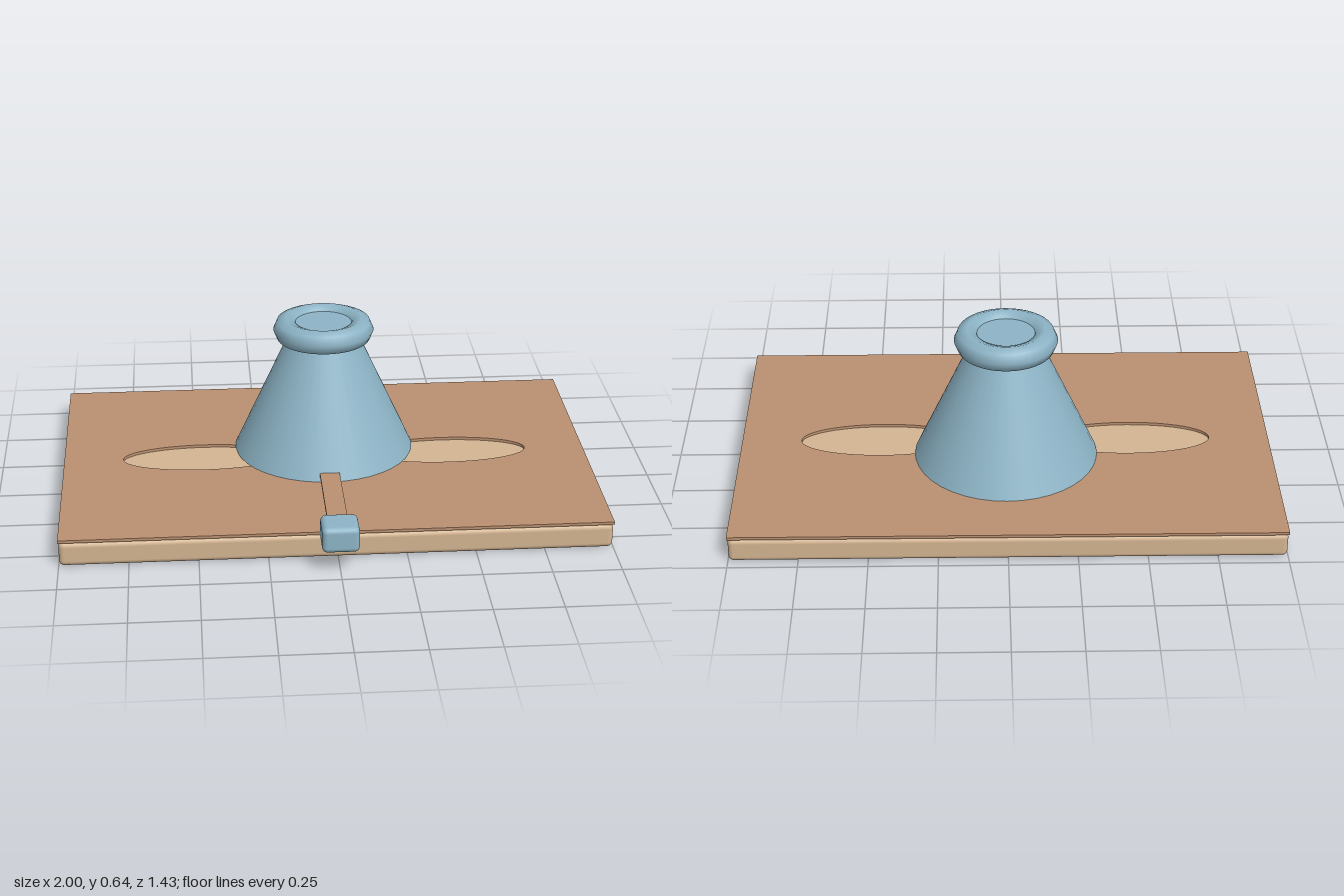
import * as THREE from 'three';
import { RoundedBoxGeometry } from 'three/addons/geometries/RoundedBoxGeometry.js';

export function createModel() {
  const model = new THREE.Group();
  const material = (name, color) => {
    const m = new THREE.MeshStandardMaterial({ color });
    m.name = name;
    return m;
  };
  const tan = material('tan', 0xd4b592);
  const brown = material('brown', 0xbb9070);
  const blue = material('dusty blue', 0x8db4c6);

  const add = (name, geometry, mat, x, y, z) => {
    const mesh = new THREE.Mesh(geometry, mat);
    mesh.name = name;
    mesh.position.set(x, y, z);
    model.add(mesh);
    return mesh;
  };

  // Rounded slab
  add('baseSlab', new RoundedBoxGeometry(1.996, 0.094, 1.3, 4, 0.02), tan, 0, 0.047, -0.065);

  // Thin cover sheet with two elliptical cutouts
  const sheet = new THREE.Shape();
  sheet.moveTo(-1, -0.585).lineTo(1, -0.585).lineTo(1, 0.715).lineTo(-1, 0.715).closePath();
  for (const side of [-1, 1]) {
    const hole = new THREE.Path();
    hole.absellipse(side * 0.465, 0.068, 0.31, 0.11, 0, Math.PI * 2, true);
    sheet.holes.push(hole);
  }
  const sheetGeometry = new THREE.ExtrudeGeometry(sheet, { depth: 0.011, bevelEnabled: false, curveSegments: 24 });
  sheetGeometry.rotateX(-Math.PI / 2);
  add('coverSheet', sheetGeometry, brown, 0, 0.094, 0);

  // Tapered body and the rim around its top
  const axisZ = -0.157;
  add('coneBody', new THREE.CylinderGeometry(0.109, 0.342, 0.51, 40), blue, 0, 0.36, axisZ);
  const rim = new THREE.TorusGeometry(0.143, 0.0475, 8, 40);
  rim.rotateX(-Math.PI / 2);
  add('topRim', rim, blue, 0, 0.588, axisZ);

  // Flat lever with a rounded knob at the front
  add('leverBar', new THREE.BoxGeometry(0.074, 0.011, 0.44), brown, 0, 0.13, 0.39);
  add('leverKnob', new RoundedBoxGeometry(0.134, 0.097, 0.13, 4, 0.02), blue, 0, 0.1315, 0.65);

  return model;
}
